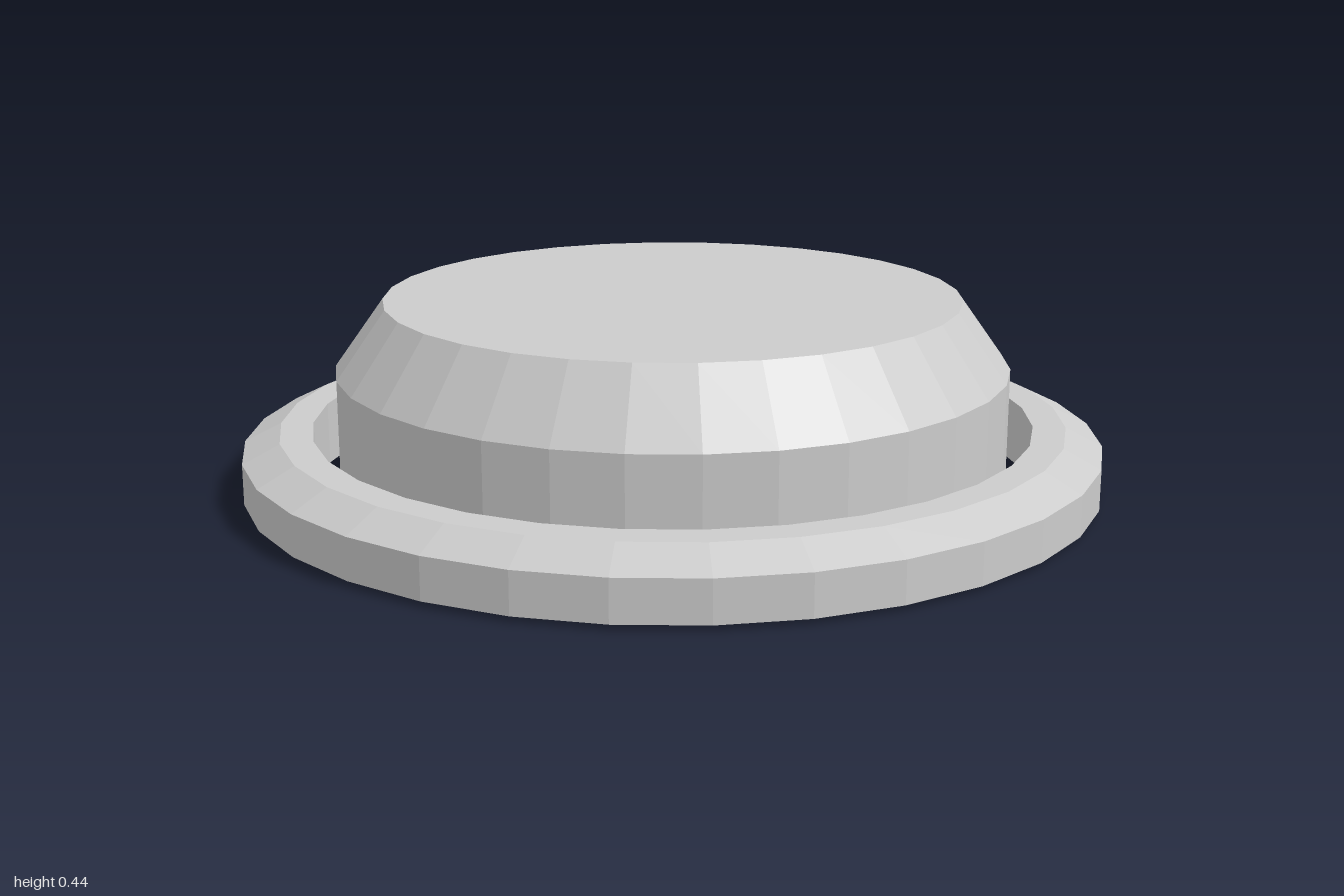
import * as THREE from 'three';

const SIDES = 32;

// Thin faceted shell turned around the y axis from [radius, height] pairs
function shell(name, profile) {
  const points = profile.map(([r, y]) => new THREE.Vector2(r, y));
  const material = new THREE.MeshStandardMaterial({
    color: 0xcccccc, flatShading: true, side: THREE.DoubleSide,
  });
  const mesh = new THREE.Mesh(new THREE.LatheGeometry(points, SIDES), material);
  mesh.name = name;
  return mesh;
}

export function createModel() {
  const model = new THREE.Group();
  model.name = 'cappedRing';

  // Hollow cap: straight wall, sloped shoulder, flat top, open below
  model.add(shell('cap', [[0.783, 0.016], [0.783, 0.283], [0.67, 0.44], [0, 0.44]]));

  // Outer ring: outer wall, bevel, flat lip and inner wall, open below
  model.add(shell('outerRing', [[1, 0.012], [1, 0.106], [0.915, 0.148], [0.84, 0.148], [0.84, 0]]));

  return model;
}
